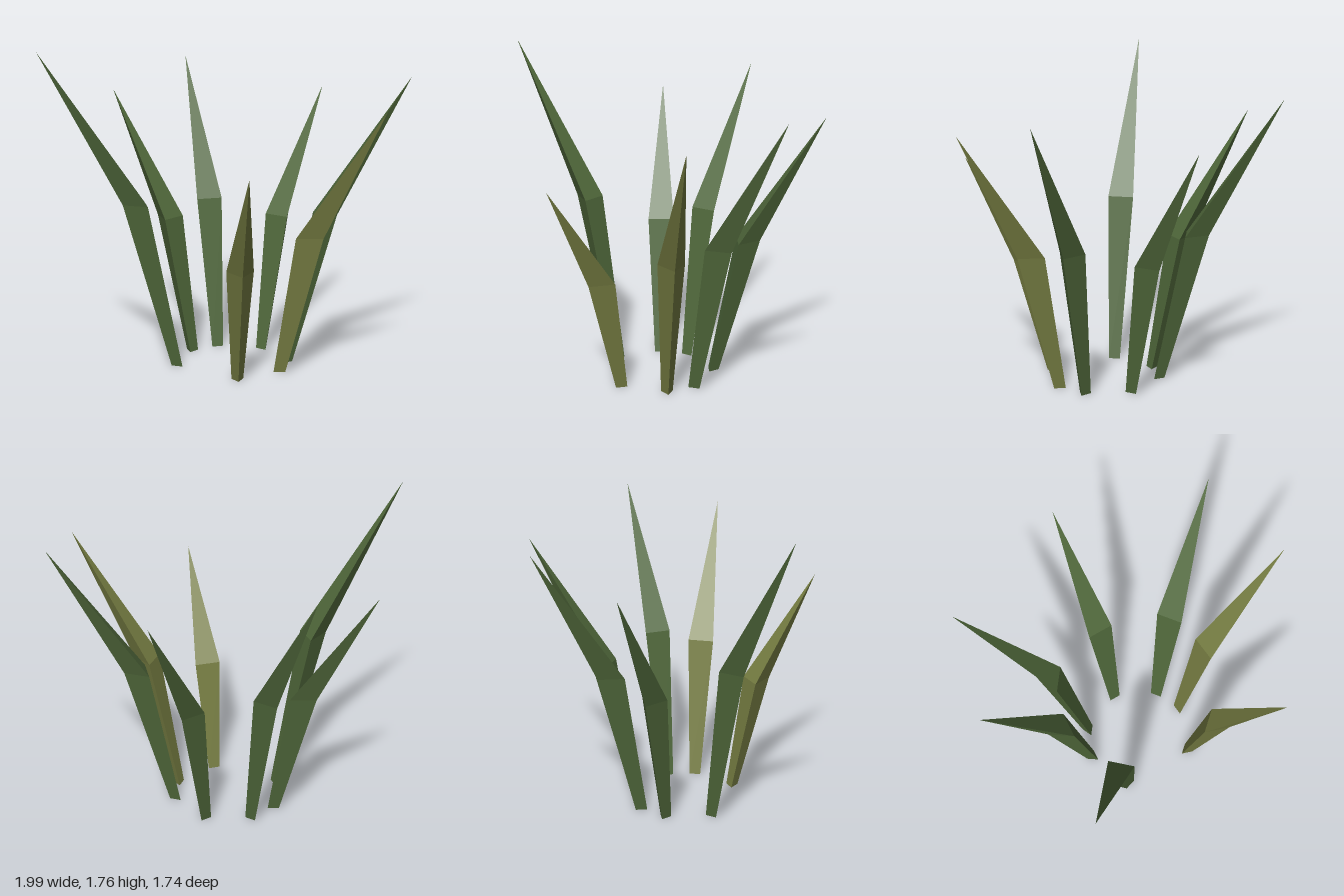
import * as THREE from 'three';

const green = new THREE.MeshStandardMaterial({ name: 'leafGreen', color: 0x4f673a });
const olive = new THREE.MeshStandardMaterial({ name: 'dryOlive', color: 0x767d42 });
for (const m of [green, olive]) m.flatShading = true;

// name, base centre [x, z], tip [x, y, z], material
const BLADES = [
  ['frontBlade', [0.049, 0.361], [0.09, 1.21, 0.87], olive],
  ['frontLeftBlade', [0.281, 0.225], [0.80, 1.49, 0.56], olive],
  ['leftBlade', [0.324, 0.062], [0.99, 1.60, 0.06], green],
  ['backLeftBlade', [0.206, -0.175], [0.57, 1.445, -0.66], green],
  ['backBlade', [-0.055, -0.23], [-0.23, 1.595, -0.87], green],
  ['backRightBlade', [-0.199, -0.143], [-0.645, 1.445, -0.55], green],
  ['rightBlade', [-0.274, 0.113], [-1.0, 1.76, 0.24], green],
];

const BASE_RADIUS = 0.037, MID_RADIUS = 0.084;
const MID_HEIGHT = 0.524, MID_LEAN = 0.287; // where the blade bends, as shares of its height and lean

// Three-sided spike with its ridge outward, swelling and bending at the middle ring
function bladeGeometry([bx, bz], [tx, ty, tz]) {
  const dx = tx - bx, dz = tz - bz;
  const geo = new THREE.CylinderGeometry(0, 1, 1, 3, 2, false, Math.atan2(dx, dz)).toNonIndexed();
  const pos = geo.attributes.position;
  for (let i = 0; i < pos.count; i++) {
    const y = pos.getY(i);
    let lean = 0, height = 0, spread = BASE_RADIUS;
    if (y > 0.25) {
      lean = 1; height = 1; spread = 0;
    } else if (y > -0.25) {
      lean = MID_LEAN; height = MID_HEIGHT; spread = MID_RADIUS * 2; // this ring has radius 0.5
    }
    pos.setXYZ(i, bx + dx * lean + pos.getX(i) * spread, ty * height, bz + dz * lean + pos.getZ(i) * spread);
  }
  geo.computeVertexNormals();
  return geo;
}

export function createModel() {
  const tuft = new THREE.Group();
  tuft.name = 'grassTuft';
  for (const [name, base, tip, material] of BLADES) {
    const blade = new THREE.Mesh(bladeGeometry(base, tip), material);
    blade.name = name;
    tuft.add(blade);
  }
  return tuft;
}
